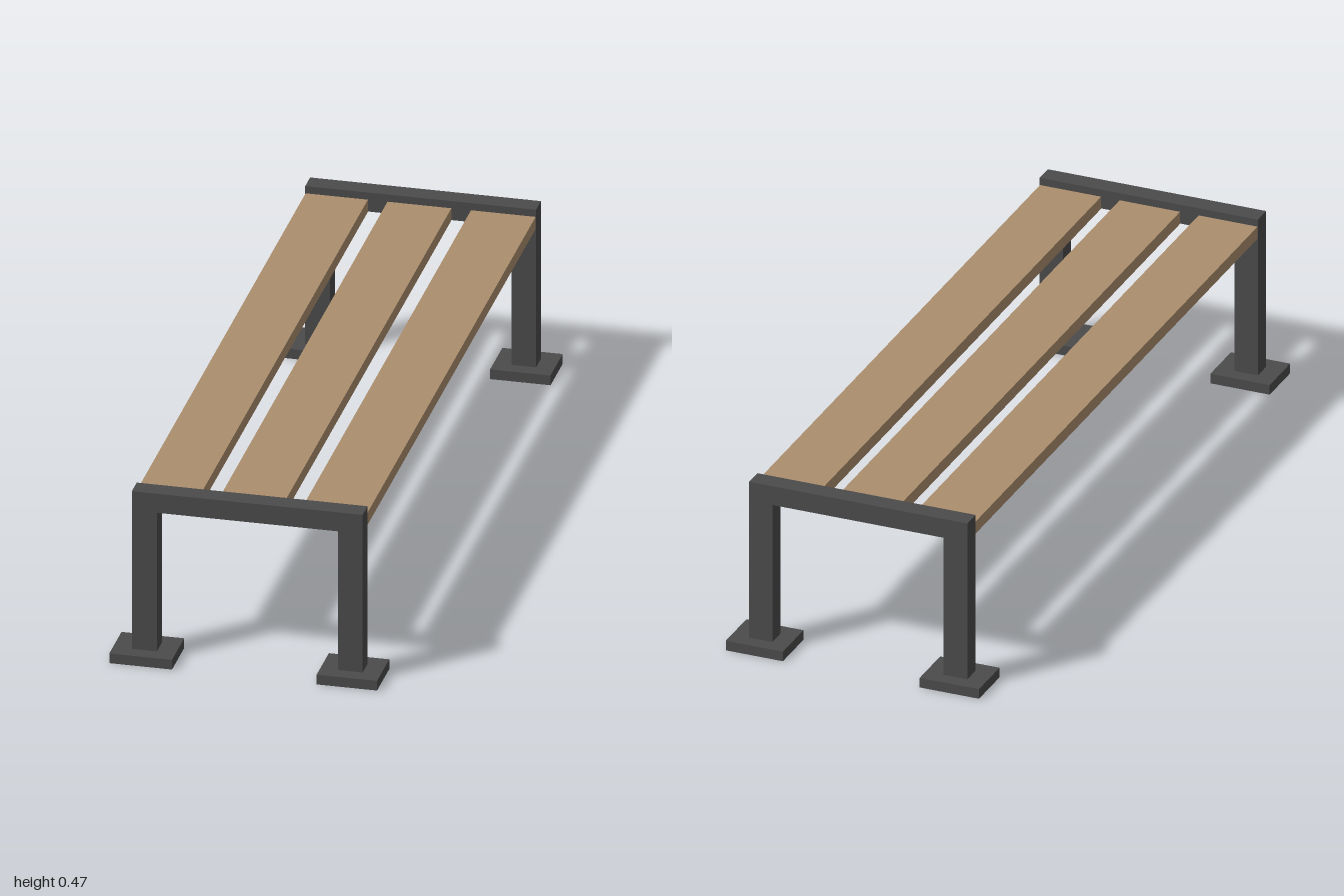
import * as THREE from 'three';

const metal = new THREE.MeshStandardMaterial({ color: 0x4b4b4b });
metal.name = 'dark metal';
const wood = new THREE.MeshStandardMaterial({ color: 0xab8f6e });
wood.name = 'wood';

// Box given by its lower and upper limits on each axis
function addBox(parent, name, material, [x0, x1], [y0, y1], [z0, z1]) {
  const mesh = new THREE.Mesh(new THREE.BoxGeometry(x1 - x0, y1 - y0, z1 - z0), material);
  mesh.position.set((x0 + x1) / 2, (y0 + y1) / 2, (z0 + z1) / 2);
  mesh.name = name;
  parent.add(mesh);
}

// Upside-down U frame, extruded across the bench end
function frameGeometry() {
  const points = [
    [-0.3, 0.027], [-0.235, 0.027], [-0.235, 0.414], [0.236, 0.414],
    [0.236, 0.027], [0.3, 0.027], [0.3, 0.467], [-0.3, 0.467],
  ].map(([x, y]) => new THREE.Vector2(x, y));
  return new THREE.ExtrudeGeometry(new THREE.Shape(points), { depth: 0.053, bevelEnabled: false });
}

export function createModel() {
  const bench = new THREE.Group();
  bench.name = 'bench';

  // End frames with a foot plate under each leg
  const frame = frameGeometry();
  for (const [end, z, footZ] of [['front', 0.907, [0.868, 1]], ['back', -0.96, [-1, -0.868]]]) {
    const group = new THREE.Group();
    group.name = end + 'End';
    const mesh = new THREE.Mesh(frame, metal);
    mesh.name = end + 'Frame';
    mesh.position.z = z;
    group.add(mesh);
    addBox(group, end + 'RightFoot', metal, [-0.349, -0.186], [0, 0.027], footZ);
    addBox(group, end + 'LeftFoot', metal, [0.19, 0.347], [0, 0.027], footZ);
    bench.add(group);
  }

  // Seat planks, their ends let into the underside of the frames
  const planks = [['right', -0.299, -0.137], ['middle', -0.086, 0.08], ['left', 0.131, 0.299]];
  for (const [side, x0, x1] of planks) {
    addBox(bench, side + 'Plank', wood, [x0, x1], [0.413, 0.447], [-0.958, 0.958]);
  }
  return bench;
}
